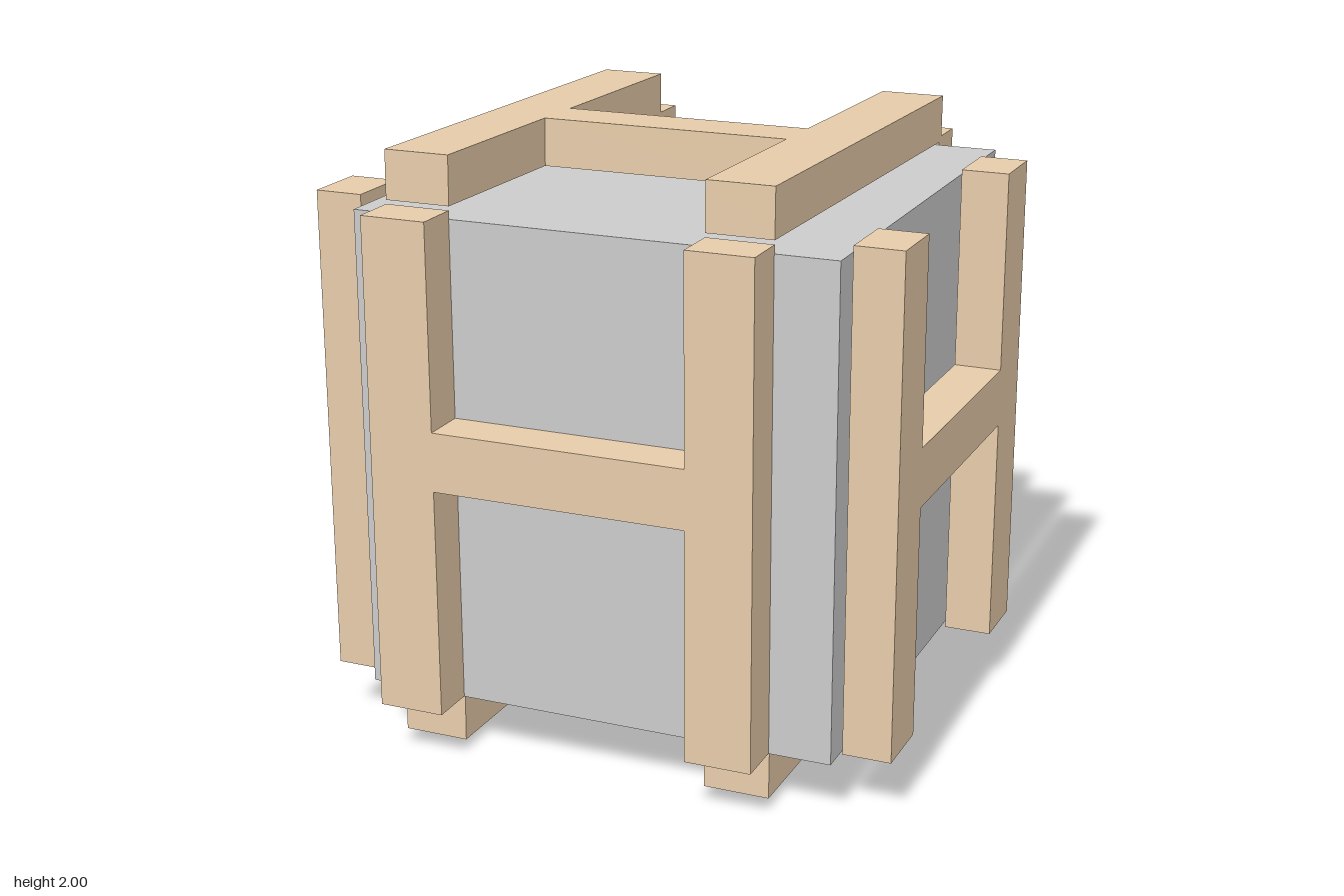
import * as THREE from 'three';

const wood = new THREE.MeshStandardMaterial({ color: 0xe6cba9, flatShading: true });
const grey = new THREE.MeshStandardMaterial({ color: 0xcccccc, flatShading: true });

// H-shaped brace centred on its own origin: two posts and a slightly raised crossbar
function braceGeometry() {
  const w = 0.645, inner = 0.425, h = 0.818, low = -0.05, high = 0.146, depth = 0.16;
  const shape = new THREE.Shape([
    [-w, -h], [-inner, -h], [-inner, low], [inner, low], [inner, -h], [w, -h],
    [w, h], [inner, h], [inner, high], [-inner, high], [-inner, h], [-w, h],
  ].map(([x, y]) => new THREE.Vector2(x, y)));
  return new THREE.ExtrudeGeometry(shape, { depth, bevelEnabled: false }).translate(0, 0, -depth / 2);
}

export function createModel() {
  const model = new THREE.Group();
  model.name = 'bracedCrate';

  // Plain cube body
  const body = new THREE.Mesh(new THREE.BoxGeometry(1.61, 1.61, 1.61), grey);
  body.name = 'body';
  body.position.set(0, 0.995, 0.004);
  model.add(body);

  // One brace per face; the lid, base and side braces sit slightly askew
  const geometry = braceGeometry();
  const flat = Math.PI / 2 - 0.0196, side = Math.PI / 2 - 0.006;
  const braces = [
    ['frontBrace', [-0.045, 1.009, 0.885], [0, 0, 0]],
    ['backBrace', [-0.045, 1.009, -0.885], [0, 0, 0]],
    ['leftBrace', [0.898, 1.009, 0.082], [0, side, 0]],
    ['rightBrace', [-0.903, 1.009, 0.082], [0, side, 0]],
    ['topBrace', [-0.045, 1.904, -0.014], [flat, 0, 0]],
    ['bottomBrace', [-0.045, 0.096, -0.014], [flat, 0, 0]],
  ];
  for (const [name, position, rotation] of braces) {
    const brace = new THREE.Mesh(geometry, wood);
    brace.name = name;
    brace.position.set(...position);
    brace.rotation.set(...rotation);
    model.add(brace);
  }
  return model;
}
